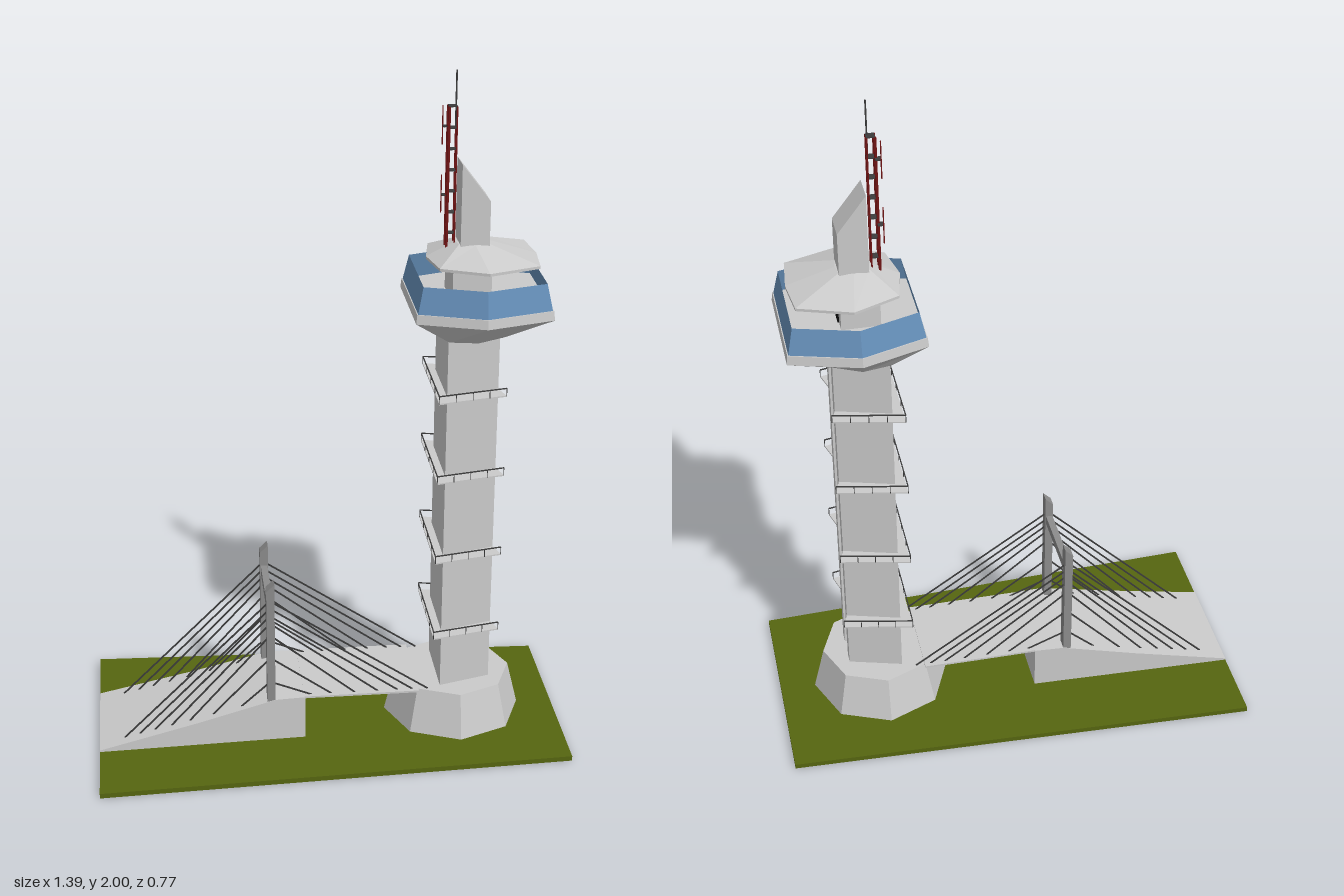
import * as THREE from 'three';

const mat = (name, color, double) => {
  const m = new THREE.MeshStandardMaterial({ color });
  m.name = name;
  if (double) m.side = THREE.DoubleSide;
  return m;
};

// Full outline from the points with z >= 0, listed from +x to -x.
const mirrored = (half) => [
  ...half.map(([x, z]) => [x, -z]),
  ...half.filter(([, z]) => z > 0).reverse(),
];
const scaled = (pts, cx, s) => pts.map(([x, z]) => [cx + (x - cx) * s, z * s]);

// Flat-faced loft through convex rings given as [y, outline].
function loft(rings, capped = true) {
  const pos = [];
  const tri = (...v) => v.forEach((p) => pos.push(...p));
  const at = ([y, pts], i) => { const p = pts[i % pts.length]; return [p[0], y, p[1]]; };
  const n = rings[0][1].length;
  for (let r = 0; r + 1 < rings.length; r++) {
    for (let i = 0; i < n; i++) {
      const a = at(rings[r], i), b = at(rings[r], i + 1);
      const c = at(rings[r + 1], i + 1), d = at(rings[r + 1], i);
      tri(a, b, c);
      tri(a, c, d);
    }
  }
  if (capped) {
    const lo = rings[0], hi = rings[rings.length - 1];
    for (let i = 1; i + 1 < n; i++) {
      tri(at(lo, 0), at(lo, i + 1), at(lo, i));
      tri(at(hi, 0), at(hi, i), at(hi, i + 1));
    }
  }
  const g = new THREE.BufferGeometry();
  g.setAttribute('position', new THREE.Float32BufferAttribute(pos, 3));
  g.computeVertexNormals();
  return g;
}

const shapeOf = (pts) => new THREE.Shape(pts.map(([x, y]) => new THREE.Vector2(x, y)));

// Horizontal slab from an [x, z] outline, and a side profile [x, y] extruded across z.
function slab(pts, y0, y1) {
  const g = new THREE.ExtrudeGeometry(shapeOf(pts.map(([x, z]) => [x, -z])), { depth: y1 - y0, bevelEnabled: false });
  return g.rotateX(-Math.PI / 2).translate(0, y0, 0);
}
function profile(pts, width) {
  const g = new THREE.ExtrudeGeometry(shapeOf(pts), { depth: width, bevelEnabled: false });
  return g.translate(0, 0, -width / 2);
}

export function createModel() {
  const model = new THREE.Group();
  const concrete = mat('concrete', 0xcbcbcb);
  const steel = mat('pylon grey', 0x8c8c8c);
  const grass = mat('grass green', 0x566610);
  const glass = mat('window blue', 0x6690ba, true);
  const black = mat('black', 0x0b0b0b);
  const red = mat('mast red', 0x701414);
  const dark = mat('cable grey', 0x3c3c3c);

  const add = (name, geometry, material, parent = model) => {
    const m = new THREE.Mesh(geometry, material);
    m.name = name;
    parent.add(m);
    return m;
  };
  const box = (name, material, x, y, z, w, h, d, parent) =>
    add(name, new THREE.BoxGeometry(w, h, d).translate(x, y, z), material, parent);
  const beam = (name, material, a, b, h, d, parent) => {
    const p = new THREE.Vector3(...a), q = new THREE.Vector3(...b);
    const dir = q.clone().sub(p);
    const m = add(name, new THREE.BoxGeometry(dir.length(), h, d), material, parent);
    m.position.copy(p).add(q).multiplyScalar(0.5);
    m.quaternion.setFromUnitVectors(new THREE.Vector3(1, 0, 0), dir.normalize());
  };
  const group = (name) => {
    const g = new THREE.Group();
    g.name = name;
    model.add(g);
    return g;
  };

  // Ground and octagonal plinth
  add('ground', slab(mirrored([[0.695, 0.33], [-0.695, 0.385]]), 0, 0.015), grass);
  const octagon = (r) => Array.from({ length: 8 }, (_, i) => {
    const a = (i * Math.PI) / 4;
    return [0.383 + r * Math.cos(a), -r * Math.sin(a)];
  });
  add('plinth', loft([[0.015, octagon(0.207)], [0.15, octagon(0.174)]]), concrete);

  // Shaft with a recessed lift strip on the +x side
  add('shaft', slab(mirrored([[0.465, 0.03], [0.485, 0.03], [0.485, 0.065], [0.33, 0.11]]), 0.15, 1.27), concrete);
  box('liftStrip', black, 0.466, 0.71, 0, 0.016, 1.12, 0.06);
  box('core', concrete, 0.4, 1.42, 0, 0.11, 0.13, 0.14);
  box('coreStrip', black, 0.456, 1.42, 0, 0.006, 0.13, 0.06);

  // Balconies wrapping three sides of the shaft
  for (const y of [0.333, 0.583, 0.838, 1.085]) {
    const g = group('balcony');
    const outer = [[0.5, 0.115], [0.3, 0.157]];
    const inner = [[0.33, 0.105], [0.485, 0.062]];
    const neg = ([x, z]) => [x, -z];
    add('balconyFloor', slab([...outer.map(neg), ...outer.slice().reverse(),
      inner[1], inner[0], neg(inner[0]), neg(inner[1])], y, y + 0.004), concrete, g);
    const path = [...outer.map(neg), ...outer.slice().reverse()];
    for (let i = 0; i < 3; i++) {
      const [a, b] = [path[i], path[i + 1]];
      beam('handrail', dark, [a[0], y + 0.026, a[1]], [b[0], y + 0.026, b[1]], 0.003, 0.003, g);
      for (let k = 0; k < 4; k++) {
        const t = k / 4;
        box('railPost', dark, a[0] + (b[0] - a[0]) * t, y + 0.014, a[1] + (b[1] - a[1]) * t, 0.002, 0.024, 0.002, g);
      }
    }
    box('railPost', dark, 0.5, y + 0.014, 0.115, 0.002, 0.024, 0.002, g);
  }

  // Observation pod: flared bowl, rim and sloping window band
  const podRim = mirrored([[0.617, 0.168], [0.42, 0.225], [0.23, 0.16]]);
  const podFoot = mirrored([[0.49, 0.1], [0.41, 0.14], [0.33, 0.125]]);
  add('podBowl', loft([[1.26, podFoot], [1.33, podRim], [1.357, scaled(podRim, 0.423, 0.985)]]), concrete);
  add('podWindows', loft([[1.357, scaled(podRim, 0.423, 0.97)], [1.432, scaled(podRim, 0.423, 0.89)]], false), glass);

  // Roof with a thin eave
  const eave = mirrored([[0.592, 0], [0.58, 0.12], [0.43, 0.173], [0.3, 0.115], [0.278, 0]]);
  const crown = mirrored([[0.455, 0], [0.45, 0.035], [0.41, 0.048], [0.365, 0.035], [0.36, 0]]);
  add('roof', loft([[1.466, eave], [1.474, eave], [1.516, crown]]), concrete);

  // Slant-topped spire
  add('spire', profile([[0.368, 1.49], [0.45, 1.49], [0.45, 1.64], [0.368, 1.747]], 0.09), concrete);

  // Lattice mast with side aerials
  const mast = group('mast');
  for (const x of [0.334, 0.356]) for (const z of [0.006, -0.016]) {
    const near = x < 0.34;
    box('mastLeg', red, x, 1.7, z, near ? 0.007 : 0.004, 0.4, near ? 0.007 : 0.004, mast);
  }
  for (let i = 0; i < 7; i++) {
    box('mastRung', dark, 0.345, 1.54 + i * 0.06, -0.005, 0.024, 0.003, 0.024, mast);
  }
  box('mastTip', dark, 0.353, 1.92, 0, 0.004, 0.16, 0.004, mast);
  for (const y of [1.645, 1.84]) {
    box('sideAerial', red, 0.322, y, -0.031, 0.003, 0.11, 0.003, mast);
    box('aerialArm', dark, 0.329, y, -0.022, 0.016, 0.003, 0.02, mast);
  }

  // Approach ramp, narrowing toward the tower, and the thin deck
  const ramp = profile([[-0.695, 0.014], [-0.08, 0.014], [-0.08, 0.152], [-0.17, 0.15], [-0.4, 0.09], [-0.695, 0.02]], 2);
  const p = ramp.attributes.position;
  for (let i = 0; i < p.count; i++) {
    p.setZ(i, p.getZ(i) * THREE.MathUtils.mapLinear(p.getX(i), -0.695, -0.08, 0.164, 0.142));
  }
  ramp.computeVertexNormals();
  add('ramp', ramp, concrete);
  box('deck', concrete, 0.09, 0.15, 0, 0.345, 0.006, 0.28);

  // Pylons, crossbeam and stay cables
  const stays = [[0.47, -0.62, 0.29], [0.445, -0.575, 0.245], [0.42, -0.53, 0.2], [0.395, -0.48, 0.14],
    [0.355, -0.425, 0.07], [0.28, -0.355, 0], [0.2, -0.27, -0.06]];
  const rampY = (x) => (x < -0.4 ? THREE.MathUtils.mapLinear(x, -0.695, -0.4, 0.02, 0.09)
    : THREE.MathUtils.mapLinear(x, -0.4, -0.17, 0.09, 0.15));
  for (const s of [1, -1]) {
    add('pylon', profile([[-0.193, 0.13], [-0.169, 0.13], [-0.169, 0.535], [-0.193, 0.512]], 0.034), steel)
      .position.z = s * 0.127;
    for (const [y, left, right] of stays) {
      beam('stayCable', dark, [-0.185, y, s * 0.127], [left, rampY(left), s * 0.127], 0.005, 0.002);
      beam('stayCable', dark, [-0.177, y, s * 0.127], [right, 0.152, s * 0.127], 0.005, 0.002);
    }
  }
  box('crossbeam', steel, -0.181, 0.455, 0, 0.02, 0.028, 0.23);

  return model;
}
